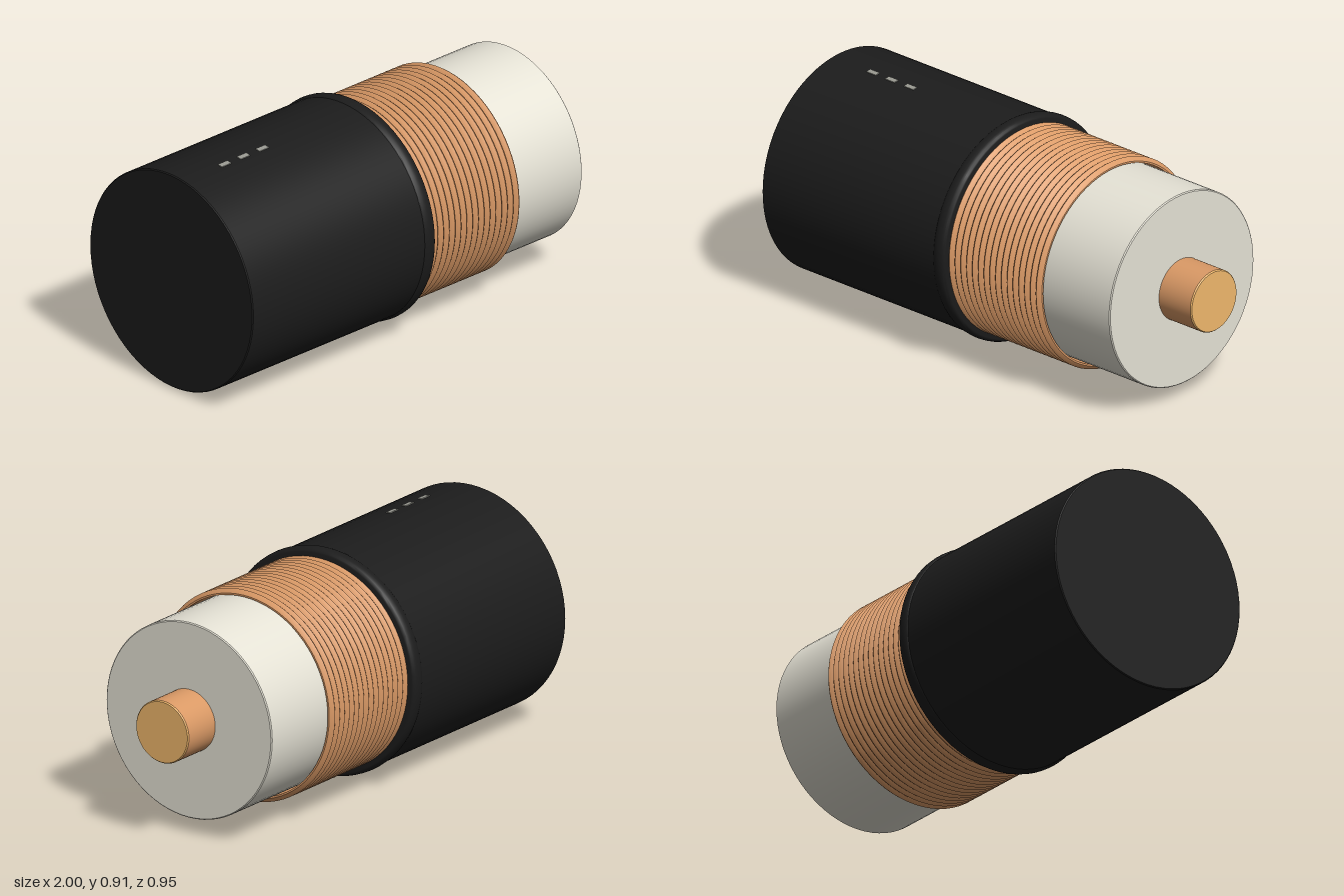
import * as THREE from 'three';
import { toCreasedNormals } from 'three/addons/utils/BufferGeometryUtils.js';

const paint = (color) => new THREE.MeshStandardMaterial({ color });

// Solid of revolution lying along x; profile points are [radius, position along the cable]
function turned(name, profile, material, crease = 0.5) {
  const points = profile.map(([r, s]) => new THREE.Vector2(r, s));
  const geometry = new THREE.LatheGeometry(points, 72).rotateZ(-Math.PI / 2);
  const mesh = new THREE.Mesh(toCreasedNormals(geometry, crease), material);
  mesh.name = name;
  return mesh;
}

export function createModel() {
  const black = paint(0x1c1c1c);
  const copper = paint(0xdb9a66);
  const gold = paint(0xf0b86c);
  const ivory = paint(0xe6e3d6);
  const grey = paint(0x9a9a92);

  const cable = new THREE.Group();
  cable.name = 'cable';

  // Outer jacket with a closed rear end
  const jacketR = 0.449;
  cable.add(turned('jacket', [
    [0, -0.98], [jacketR - 0.004, -0.98], [jacketR, -0.976], [jacketR, -0.02], [0.39, -0.02],
  ], black));

  // Rounded lip where the jacket has been cut back
  const lip = [[0.4, -0.07]];
  for (let i = 0; i <= 8; i++) {
    const a = -Math.PI / 2 + (i / 8) * Math.PI;
    lip.push([0.441 + 0.016 * Math.cos(a), -0.039 + 0.031 * Math.sin(a)]);
  }
  lip.push([0.4, -0.008]);
  cable.add(turned('jacketLip', lip, black, 0.7));

  // Ribbed shield: a sleeve with evenly spaced ridges and an open front
  const ribs = 16, start = -0.02, end = 0.474, pitch = (end - start) / ribs;
  const shield = [[0.409, start]];
  for (let i = 0; i < ribs; i++) {
    const s = start + i * pitch;
    shield.push([0.421, s + pitch * 0.3], [0.425, s + pitch * 0.5],
      [0.421, s + pitch * 0.7], [0.409, s + pitch]);
  }
  shield.push([0.402, end], [0.402, start]);
  cable.add(turned('shield', shield, copper, 0.6));

  // Insulator and centre conductor
  cable.add(turned('insulator', [
    [0.396, -0.03], [0.396, 0.819], [0.392, 0.823], [0, 0.823],
  ], ivory));
  cable.add(turned('conductor', [[0.126, 0.8], [0.126, 0.99]], copper));
  cable.add(turned('conductorTip', [[0.126, 0.99], [0.122, 0.995], [0, 0.995]], gold));

  // Three small marks along the top of the jacket
  for (const s of [-0.76, -0.66, -0.56]) {
    const mark = new THREE.Mesh(new THREE.BoxGeometry(0.05, 0.006, 0.022), grey);
    const angle = 0.148;
    mark.position.set(s, jacketR * Math.cos(angle), jacketR * Math.sin(angle));
    mark.rotation.x = angle;
    mark.name = 'jacketMark';
    cable.add(mark);
  }

  // The cable lies slightly turned about the vertical
  cable.rotation.y = -0.045;
  cable.position.set(0, 0.458, 0.016);

  const model = new THREE.Group();
  model.name = 'strippedCable';
  model.add(cable);
  return model;
}
